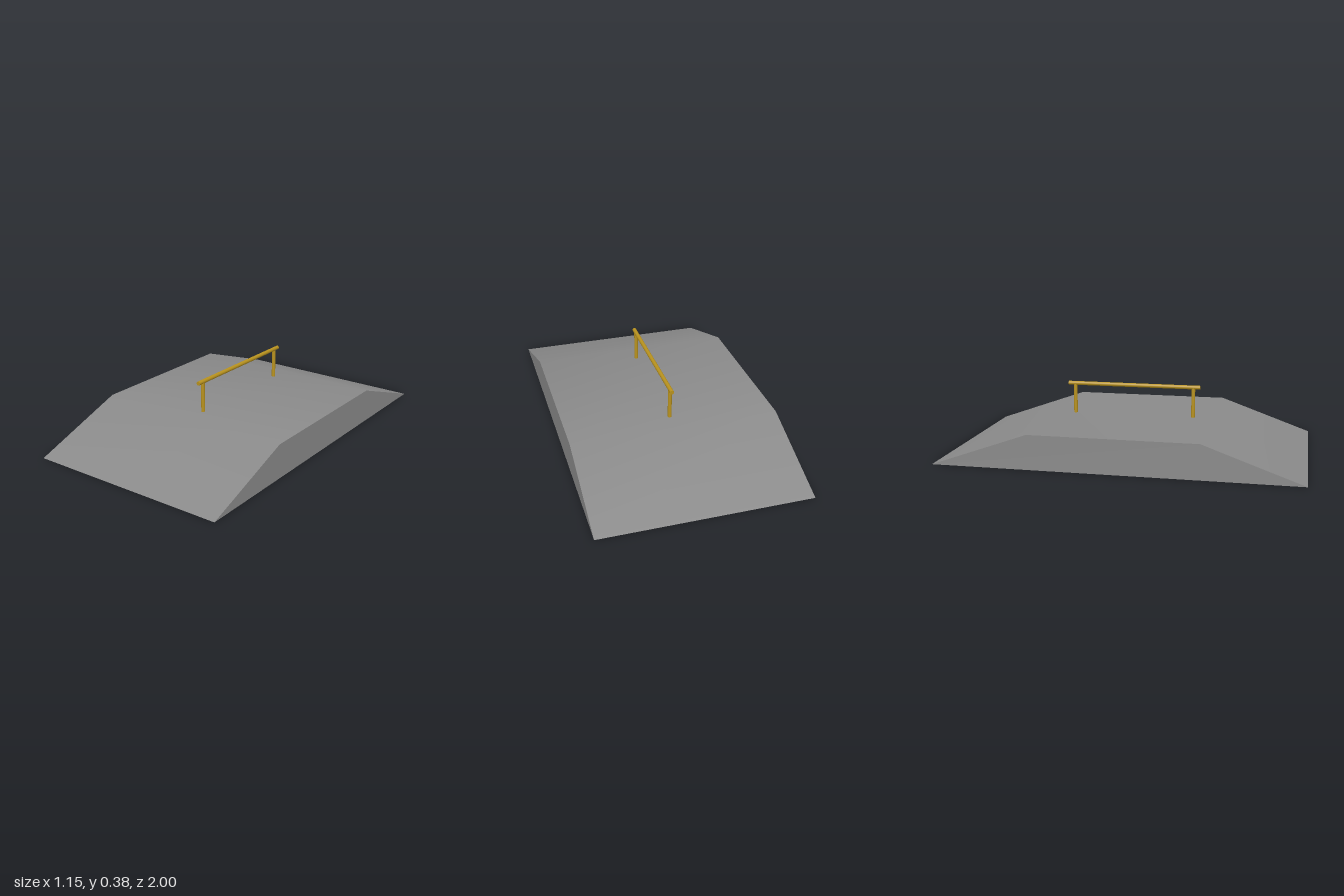
import * as THREE from 'three';
import { toCreasedNormals } from 'three/addons/utils/BufferGeometryUtils.js';

export function createModel() {
  const model = new THREE.Group();
  model.name = 'skateRampWithRail';

  const concrete = new THREE.MeshStandardMaterial({ color: 0x8a8a8a });
  concrete.name = 'concrete grey';
  const metal = new THREE.MeshStandardMaterial({ color: 0xb8921e });
  metal.name = 'gold metal';

  const width = 1.154, deckY = 0.192, deckZ = 0.46;

  // Ramp body: side profile extruded across the width, soft over the deck edges
  const profile = new THREE.Shape([
    new THREE.Vector2(-1, 0),
    new THREE.Vector2(1, 0),
    new THREE.Vector2(deckZ, deckY),
    new THREE.Vector2(-deckZ, deckY),
  ]);
  let body = new THREE.ExtrudeGeometry(profile, { depth: width, bevelEnabled: false });
  body.translate(0, 0, -width / 2);
  body.rotateY(-Math.PI / 2);
  body = toCreasedNormals(body, Math.PI / 6);
  const ramp = new THREE.Mesh(body, concrete);
  ramp.name = 'ramp';
  model.add(ramp);

  // Grind rail along the deck
  const railY = 0.366;
  const rail = new THREE.Mesh(new THREE.CylinderGeometry(0.0115, 0.0115, 0.77, 16), metal);
  rail.name = 'rail';
  rail.rotation.x = Math.PI / 2;
  rail.position.y = railY;
  model.add(rail);

  // Rail posts
  const postHeight = railY - deckY;
  for (const [name, side] of [['frontPost', 1], ['backPost', -1]]) {
    const post = new THREE.Mesh(new THREE.CylinderGeometry(0.0108, 0.0108, postHeight, 16), metal);
    post.name = name;
    post.position.set(0, deckY + postHeight / 2, side * 0.346);
    model.add(post);
  }

  return model;
}
